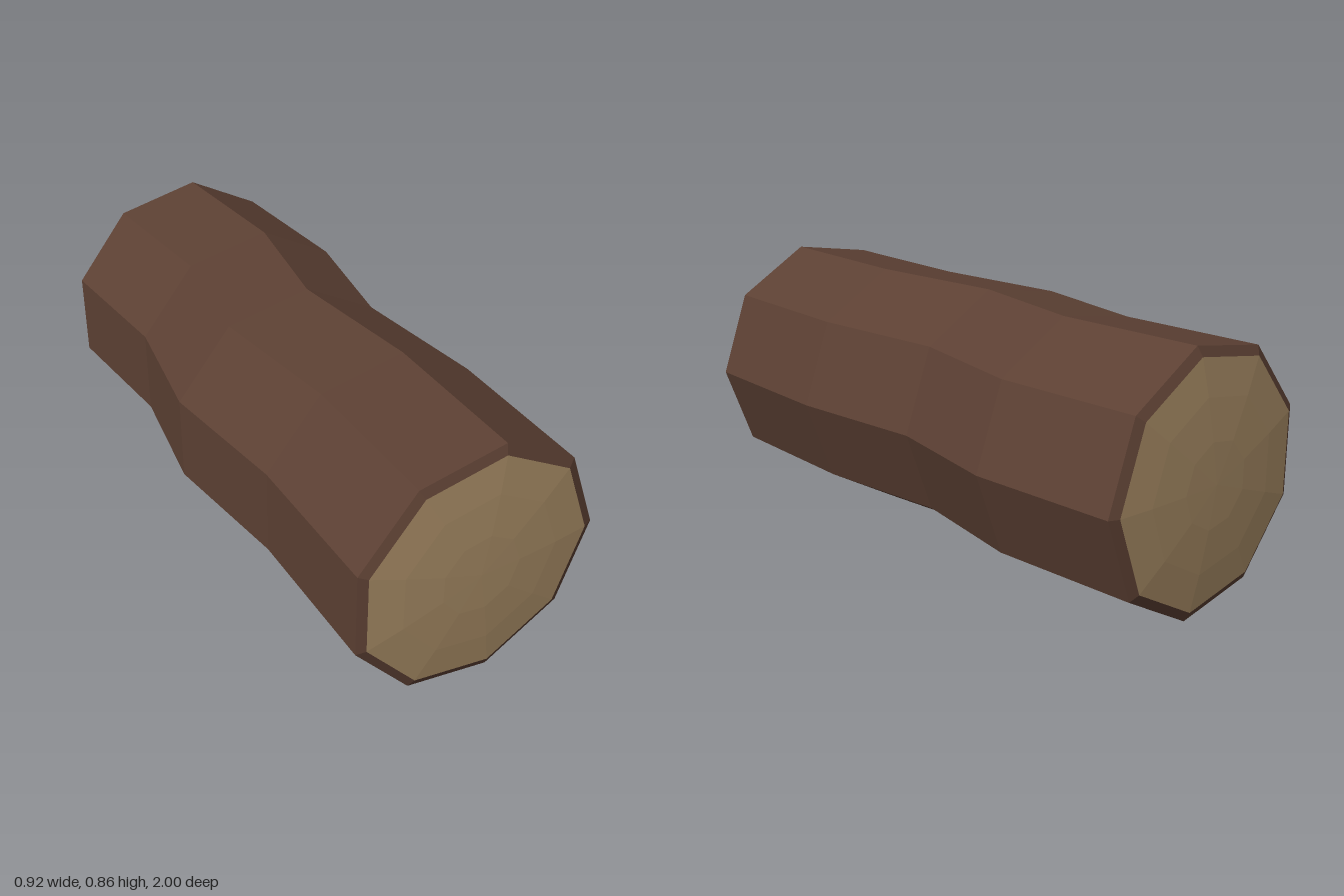
import * as THREE from 'three';

const SIDES = 9;
const CENTRE_Y = 0.428;

// Skin nine-sided rings [z, radius, xOffset, tilt], ordered from back to front
function loft(rings) {
  const positions = [];
  const index = [];
  rings.forEach(([z, r, dx, tilt]) => {
    for (let k = 0; k < SIDES; k++) {
      const a = (k / SIDES) * Math.PI * 2;
      const x = r * Math.cos(a);
      positions.push(x + dx, CENTRE_Y + r * Math.sin(a), z + tilt * x);
    }
  });
  for (let i = 0; i < rings.length - 1; i++) {
    for (let k = 0; k < SIDES; k++) {
      const n = (k + 1) % SIDES;
      const a = i * SIDES + k, b = i * SIDES + n;
      const c = b + SIDES, d = a + SIDES;
      if (rings[i][1] > 0) index.push(a, b, c);
      if (rings[i + 1][1] > 0) index.push(a, c, d);
      else if (rings[i][1] > 0) continue;
      if (rings[i][1] === 0) index.pop(), index.pop(), index.pop(), index.push(a, c, d);
    }
  }
  const geometry = new THREE.BufferGeometry();
  geometry.setAttribute('position', new THREE.Float32BufferAttribute(positions, 3));
  geometry.setIndex(index);
  const flat = geometry.toNonIndexed();
  flat.computeVertexNormals();
  return flat;
}

function part(name, rings, color) {
  const material = new THREE.MeshStandardMaterial({ color, flatShading: true });
  const mesh = new THREE.Mesh(loft(rings), material);
  mesh.name = name;
  return mesh;
}

export function createModel() {
  const group = new THREE.Group();
  group.name = 'log';
  const R = 0.435, RIM = 0.403;
  const BACK = -0.02, FRONT = 0.012;

  // Bark: a wavering trunk with a narrow bevel at each end
  group.add(part('bark', [
    [-0.978, RIM, -0.012, BACK],
    [-0.962, R, -0.011, BACK],
    [-0.47, R, 0.022, 0],
    [-0.05, R, -0.053, 0],
    [0.43, R, 0.001, 0],
    [0.964, R, -0.011, FRONT],
    [0.978, RIM, -0.012, FRONT],
  ], 0x5c4033));

  // Cut wood: a shallow dome on each end
  const dome = [[0.978, RIM], [0.99, 0.28], [0.998, 0.14], [1, 0]];
  group.add(part('frontCut', dome.map(([z, r]) => [z, r, -0.012, FRONT]), 0xa68a64));
  group.add(part('backCut', dome.map(([z, r]) => [-z, r, -0.012, BACK]).reverse(), 0xa68a64));
  return group;
}
